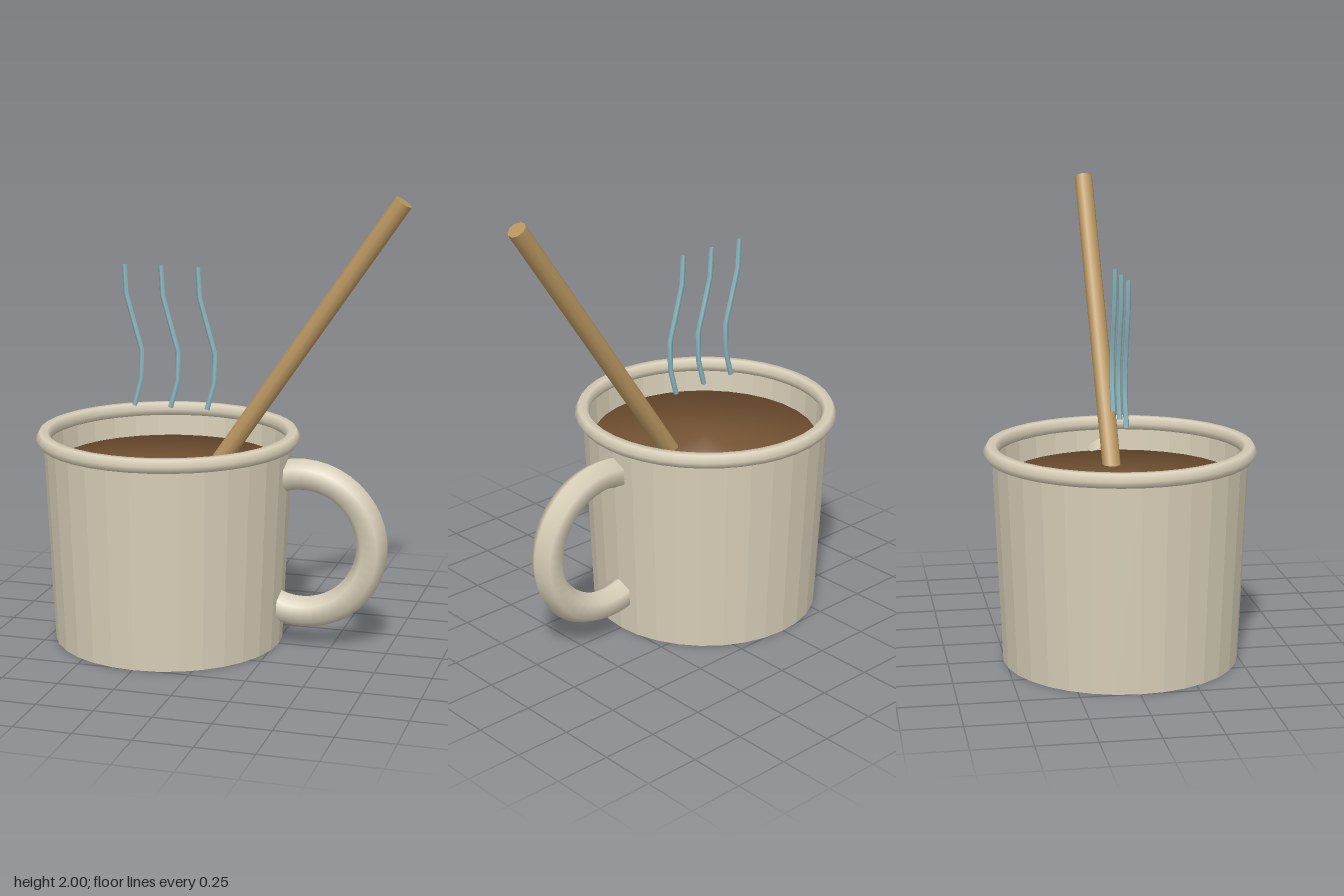
import * as THREE from 'three';

const cream = new THREE.MeshStandardMaterial({ color: 0xd8cfb8 });
cream.name = 'cream enamel';
cream.side = THREE.DoubleSide;
const brown = new THREE.MeshStandardMaterial({ color: 0x775534 });
brown.name = 'dark coffee';
const wood = new THREE.MeshStandardMaterial({ color: 0xb8955f });
wood.name = 'wood';
const blue = new THREE.MeshStandardMaterial({ color: 0x8fbcc4 });
blue.name = 'pale steam blue';
blue.side = THREE.DoubleSide;

const MUG_X = -0.245;

function addPart(parent, name, geometry, material, x = 0, y = 0, z = 0) {
  const mesh = new THREE.Mesh(geometry, material);
  mesh.name = name;
  mesh.position.set(x, y, z);
  parent.add(mesh);
  return mesh;
}

// Liquid disc whose rim normals lean outward, for a soft rounded look
function coffeeGeometry(radius, height) {
  const geo = new THREE.CylinderGeometry(radius, radius, height, 32);
  const pos = geo.attributes.position;
  const n = new THREE.Vector3();
  for (let i = 0; i < pos.count; i++) {
    const x = pos.getX(i), z = pos.getZ(i);
    if (Math.hypot(x, z) < 0.01) continue;
    n.set(x / radius, Math.sign(pos.getY(i)), z / radius).normalize();
    geo.attributes.normal.setXYZ(i, n.x, n.y, n.z);
  }
  return geo;
}

export function createModel() {
  const model = new THREE.Group();
  model.name = 'mugWithSpoon';

  // Mug: faceted, tapered wall open at both ends
  const mug = new THREE.Group();
  mug.name = 'mug';
  model.add(mug);
  const wall = new THREE.CylinderGeometry(0.55, 0.51, 0.92, 32, 1, true).toNonIndexed();
  wall.computeVertexNormals();
  addPart(mug, 'mugWall', wall, cream, MUG_X, 0.46);

  // Rolled rim
  const rim = new THREE.TorusGeometry(0.55, 0.034, 6, 40).rotateX(Math.PI / 2);
  addPart(mug, 'rim', rim, cream, MUG_X, 0.917);

  // Handle: part of a ring whose ends run into the wall
  const arc = Math.PI * 1.25;
  const handle = new THREE.TorusGeometry(0.312, 0.07, 6, 28, arc).rotateZ(-arc / 2);
  addPart(mug, 'handle', handle, cream, 0.367, 0.472);

  // Coffee
  addPart(model, 'coffee', coffeeGeometry(0.5, 0.04), brown, MUG_X, 0.78);

  // Leaning spoon: origin at the bowl, local y runs up the stick
  const spoon = new THREE.Group();
  spoon.name = 'spoon';
  spoon.position.set(-0.355, 0.31, 0);
  spoon.rotation.z = -0.6;
  model.add(spoon);
  const length = 2.025;
  addPart(spoon, 'spoonStick', new THREE.CylinderGeometry(0.041, 0.041, length, 10), wood, 0, length / 2);
  const bowl = new THREE.SphereGeometry(1, 16, 12).scale(0.13, 0.16, 0.13);
  addPart(spoon, 'spoonBowl', bowl, wood);

  // Three wavy steam wisps
  const path = new THREE.CatmullRomCurve3([
    [0, 1.045], [0.036, 1.18], [0.036, 1.295], [0, 1.42], [-0.034, 1.545], [-0.04, 1.67],
  ].map(([x, y]) => new THREE.Vector3(x, y, 0)));
  const wisp = new THREE.TubeGeometry(path, 5, 0.012, 5);
  const steam = new THREE.Group();
  steam.name = 'steam';
  model.add(steam);
  for (let i = 0; i < 3; i++) addPart(steam, 'steamWisp', wisp, blue, -0.4 + i * 0.167);

  return model;
}
